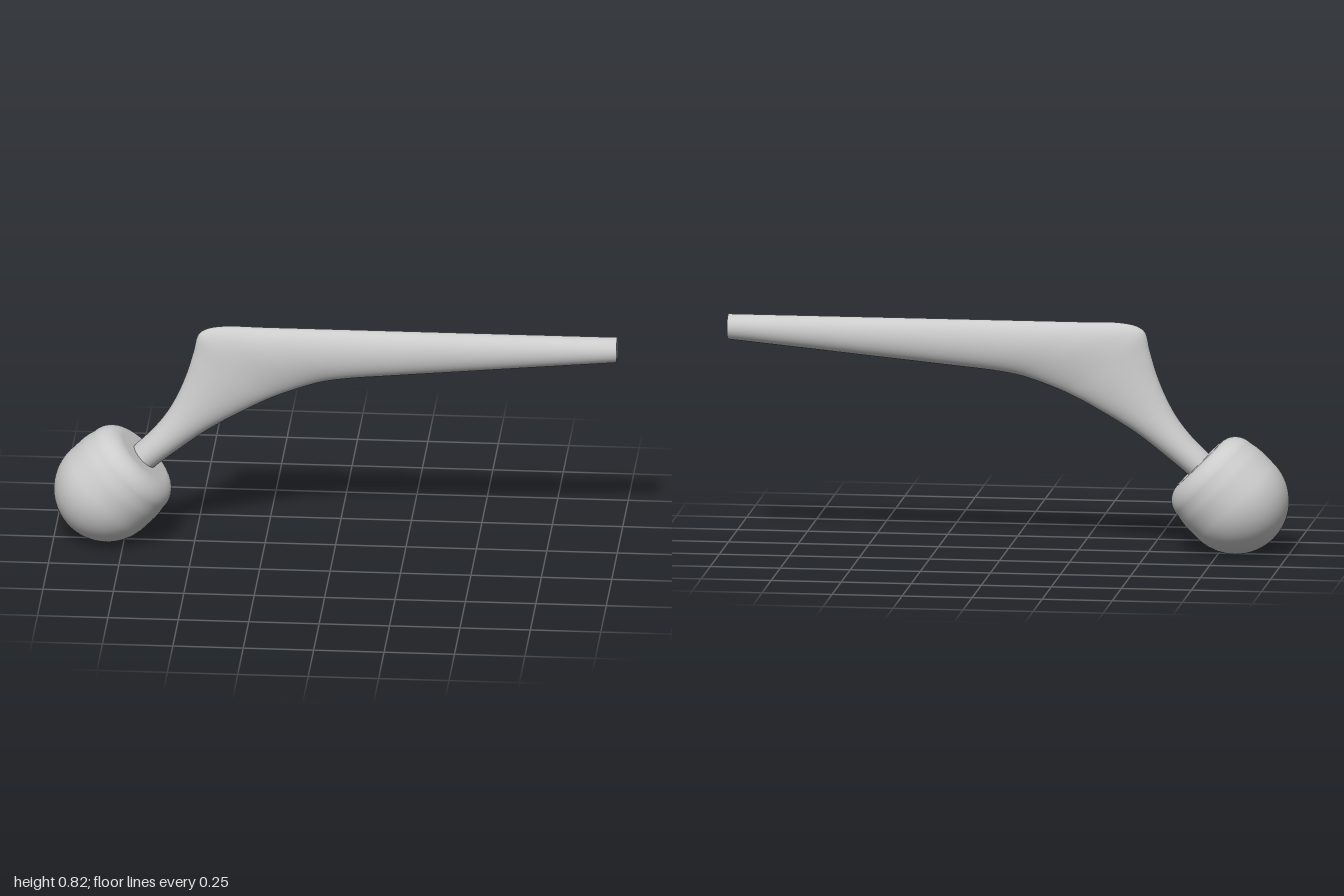
import * as THREE from 'three';

const material = new THREE.MeshStandardMaterial({ color: 0xcccccc });

// Ball head: hemisphere, short band, rounded shoulder and flat seat, turned about the neck axis
function createHead() {
  const R = 0.19, profile = [];
  for (let i = 0; i <= 24; i++) {
    const a = (i / 24) * Math.PI / 2;
    profile.push(new THREE.Vector2(R * Math.sin(a), -R * Math.cos(a)));
  }
  profile.push(new THREE.Vector2(R, 0.06), new THREE.Vector2(0.187, 0.085));
  for (let i = 0; i <= 12; i++) {
    const a = (i / 12) * Math.PI / 2;
    profile.push(new THREE.Vector2(0.106 + 0.076 * Math.cos(a), 0.108 + 0.076 * Math.sin(a)));
  }
  profile.push(new THREE.Vector2(0.05, 0.184), new THREE.Vector2(0, 0.184));
  const head = new THREE.Mesh(new THREE.LatheGeometry(profile, 64), material);
  head.name = 'ballHead';
  head.position.set(-0.81, 0.19, 0);
  head.rotation.z = -Math.PI / 4;
  return head;
}

// Sections of neck and stem: upper edge x, y, lower edge x, y, half width
const sections = [
  [-0.76, 0.31, -0.69, 0.235, 0.058],
  [-0.717, 0.353, -0.64, 0.283, 0.058],
  [-0.655, 0.415, -0.555, 0.352, 0.058],
  [-0.604, 0.48, -0.47, 0.417, 0.057],
  [-0.565, 0.55, -0.40, 0.462, 0.056],
  [-0.53, 0.635, -0.33, 0.502, 0.055],
  [-0.505, 0.72, -0.26, 0.54, 0.054],
  [-0.487, 0.788, -0.20, 0.568, 0.053],
  [-0.46, 0.808, -0.15, 0.588, 0.053],
  [-0.40, 0.82, -0.10, 0.606, 0.053],
  [-0.25, 0.82, -0.04, 0.624, 0.052],
  [0, 0.82, 0.05, 0.639, 0.052],
  [0.2, 0.82, 0.2, 0.654, 0.051],
  [0.6, 0.82, 0.6, 0.692, 0.048],
  [1, 0.82, 1, 0.73, 0.045],
];

// Neck and stem: elliptical rings lofted between the two smooth edge curves
function createStem() {
  const upper = new THREE.CatmullRomCurve3(sections.map(s => new THREE.Vector3(s[0], s[1], s[4])));
  const lower = new THREE.CatmullRomCurve3(sections.map(s => new THREE.Vector3(s[2], s[3], s[4])));
  const rings = (sections.length - 1) * 6, sides = 48;
  const positions = [], index = [];
  for (let i = 0; i <= rings; i++) {
    const t = upper.getPoint(i / rings), b = lower.getPoint(i / rings);
    for (let j = 0; j < sides; j++) {
      const a = (j / sides) * Math.PI * 2, c = Math.cos(a) / 2;
      positions.push(
        (t.x + b.x) / 2 + (t.x - b.x) * c,
        (t.y + b.y) / 2 + (t.y - b.y) * c,
        t.z * Math.sin(a));
      if (i < rings) {
        const k = (j + 1) % sides, p = i * sides, q = p + sides;
        index.push(p + j, p + k, q + j, p + k, q + k, q + j);
      }
    }
  }
  const geometry = new THREE.BufferGeometry();
  geometry.setAttribute('position', new THREE.Float32BufferAttribute(positions, 3));
  geometry.setIndex(index);
  geometry.computeVertexNormals();
  const stem = new THREE.Mesh(geometry, material);
  stem.name = 'neckAndStem';
  return stem;
}

// Flat end of the stem
function createTip() {
  const tip = new THREE.Mesh(new THREE.CircleGeometry(0.045, 48), material);
  tip.name = 'stemTip';
  tip.position.set(1, 0.775, 0);
  tip.rotation.y = Math.PI / 2;
  return tip;
}

export function createModel() {
  const model = new THREE.Group();
  model.name = 'hipImplant';
  model.add(createHead(), createStem(), createTip());
  return model;
}
